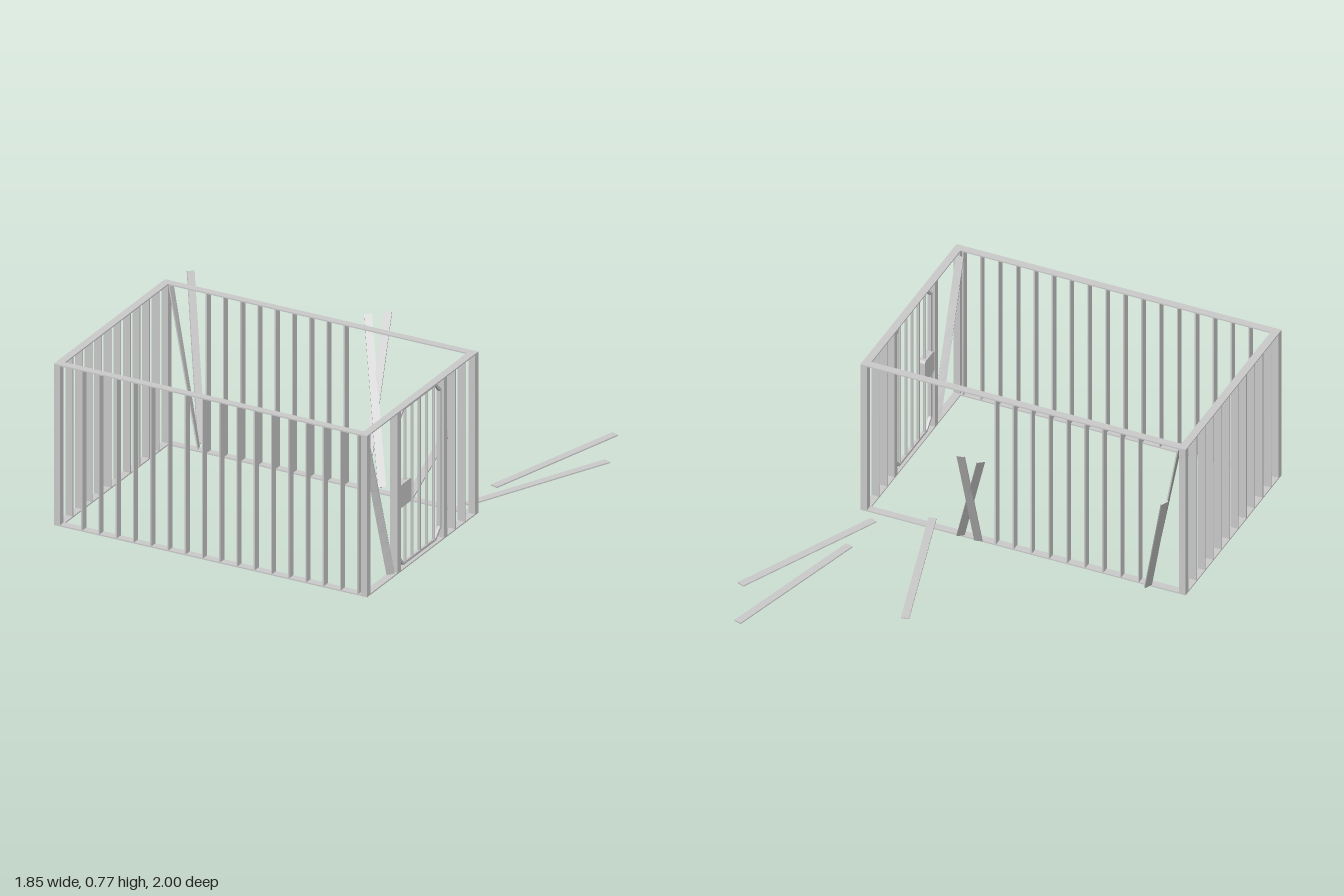
import * as THREE from 'three';

const X0 = -0.877, X1 = 0.673, Z0 = 0, Z1 = 0.998, TOP = 0.77;
const W = 0.036, T = 0.006, LEN = TOP - 2 * T;
const mat = new THREE.MeshStandardMaterial({ color: 0xcccccc, flatShading: true, side: THREE.DoubleSide });

export function createModel() {
  const root = new THREE.Group();

  const add = (name, geo, x = 0, y = 0, z = 0, parent = root) => {
    const m = new THREE.Mesh(geo, mat);
    m.name = name;
    m.position.set(x, y, z);
    parent.add(m);
  };
  const box = (name, w, h, d, x, y, z, parent) => add(name, new THREE.BoxGeometry(w, h, d), x, y, z, parent);
  const group = (name) => {
    const g = new THREE.Group();
    g.name = name;
    root.add(g);
    return g;
  };
  const points = (list) => list.map(([a, b]) => new THREE.Vector2(a, b));

  // Flat strip from point a to point b, its broad side along "across", optionally twisted at the foot
  const strip = (name, a, b, across, twist = 0) => {
    const p = new THREE.Vector3(...a), q = new THREE.Vector3(...b);
    const len = p.distanceTo(q);
    const yAxis = q.clone().sub(p).normalize();
    const zAxis = new THREE.Vector3(...across).cross(yAxis).normalize();
    const xAxis = yAxis.clone().cross(zAxis);
    const geo = new THREE.BoxGeometry(W, len, T, 1, twist ? 10 : 1, 1);
    const pos = geo.attributes.position;
    const v = new THREE.Vector3(), up = new THREE.Vector3(0, 1, 0);
    for (let i = 0; i < pos.count; i++) {
      v.fromBufferAttribute(pos, i);
      v.applyAxisAngle(up, twist * (0.5 - v.y / len));
      pos.setXYZ(i, v.x, v.y, v.z);
    }
    geo.computeVertexNormals();
    geo.applyMatrix4(new THREE.Matrix4().makeBasis(xAxis, yAxis, zAxis));
    const c = p.add(q).multiplyScalar(0.5);
    add(name, geo, c.x, c.y, c.z);
  };

  // Flat rectangular rims, top and bottom
  const rect = (i) => points([[X0 + i, Z0 + i], [X1 - i, Z0 + i], [X1 - i, Z1 - i], [X0 + i, Z1 - i]]);
  const rimShape = new THREE.Shape(rect(0));
  rimShape.holes.push(new THREE.Path(rect(W)));
  const rimGeo = new THREE.ExtrudeGeometry(rimShape, { depth: T, bevelEnabled: false });
  rimGeo.rotateX(Math.PI / 2);
  add('topRim', rimGeo, 0, TOP, 0);
  add('bottomRim', rimGeo, 0, T, 0);

  // Corner posts
  const P = 0.031, mid = TOP / 2;
  for (const x of [X0 + P / 2, X1 - P / 2])
    for (const z of [Z0 + P / 2, Z1 - P / 2]) box('cornerPost', P, LEN, P, x, mid, z);

  // Upright bars, set edge-on in every wall; the back wall is broken open on one side
  const front = group('frontBars'), back = group('backBars');
  for (let k = -1; k < 17; k++) {
    const x = -0.738 + k * 0.0853;
    if (k >= 0) box('frontBar', T, LEN, W, x, mid, Z1 - W / 2, front);
    if (k >= 1 && k <= 9) box('backBar', T, LEN, W, x, mid, Z0 + W / 2, back);
  }
  const left = group('sideBars');
  for (let k = 0; k < 10; k++) box('sideBar', W, LEN, T, X0 + W / 2, mid, 0.118 + k * 0.0858, left);
  const right = group('doorWallBars');
  for (const z of [0.118, 0.204]) box('doorWallBar', W, LEN, T, X1 - W / 2, mid, z, right);

  // Door: posts, slim frame with cut corners, round bars and lock
  const door = group('door'), dx = X1 - W / 2, zc = 0.501;
  for (const z of [0.71, 0.292]) box('doorPost', W, LEN, P, dx, mid, z, door);
  const octagon = (w, h, c) => points([[-w, -h + c], [-w + c, -h], [w - c, -h], [w, -h + c],
    [w, h - c], [w - c, h], [-w + c, h], [-w, h - c]]);
  const F = 0.012, halfW = 0.194, halfH = 0.375;
  const frameShape = new THREE.Shape(octagon(halfW, halfH, 0.048));
  frameShape.holes.push(new THREE.Path(octagon(halfW - F, halfH - F, 0.041)));
  const frameGeo = new THREE.ExtrudeGeometry(frameShape, { depth: F, bevelEnabled: false });
  frameGeo.rotateY(Math.PI / 2);
  add('doorFrame', frameGeo, dx - F / 2, mid, zc, door);
  const barGeo = new THREE.CylinderGeometry(0.007, 0.007, 2 * (halfH - F / 2), 8);
  for (let k = 0; k < 5; k++) add('doorBar', barGeo, dx, mid, 0.368 + k * 0.0645, door);

  const lw = 0.05, lh = 0.055, r = 0.014;
  const lock = new THREE.Shape();
  lock.absarc(lw - r, lh - r, r, 0, Math.PI / 2);
  lock.absarc(-lw + r, lh - r, r, Math.PI / 2, Math.PI);
  lock.absarc(-lw + r, -lh + r, r, Math.PI, Math.PI * 1.5);
  lock.absarc(lw - r, -lh + r, r, Math.PI * 1.5, Math.PI * 2);
  const lockGeo = new THREE.ExtrudeGeometry(lock, { depth: W - 0.004, bevelEnabled: false, curveSegments: 4 });
  lockGeo.rotateY(Math.PI / 2);
  add('lock', lockGeo, X1 - W + 0.002, 0.355, 0.645, door);

  // Loose bars still held in the walls
  strip('looseBackBar', [-0.705, 0.008, 0.012], [-0.84, 0.758, 0.014], [0, 0, 1], 0.3);
  strip('looseDoorWallBar', [0.655, 0.01, 0.755], [0.638, 0.742, 0.957], [1, 0, 0], 0.6);

  // Bars bent outward from the back wall
  for (const [a, b, across] of [
    [[-0.708, 0.014, -0.02], [-0.91, 0.685, -0.29], [0.5, 0, -0.85]],
    [[0.192, 0.012, -0.008], [-0.045, 0.663, -0.312], [0.79, 0, -0.61]],
    [[0.106, 0.01, -0.01], [0.04, 0.685, -0.338], [0.98, 0, -0.2]],
  ]) strip('bentBar', a, b, across);

  // Bars lying on the ground behind
  for (const [a, b] of [
    [[0.355, 0.013, 0.055], [0.153, 0.005, -0.67]],
    [[0.603, 0.003, -0.268], [0.802, 0.003, -0.995]],
    [[0.586, 0.003, -0.05], [0.908, 0.003, -0.732]],
  ]) strip('fallenBar', a, b, [a[2] - b[2], 0, b[0] - a[0]]);

  return root;
}
